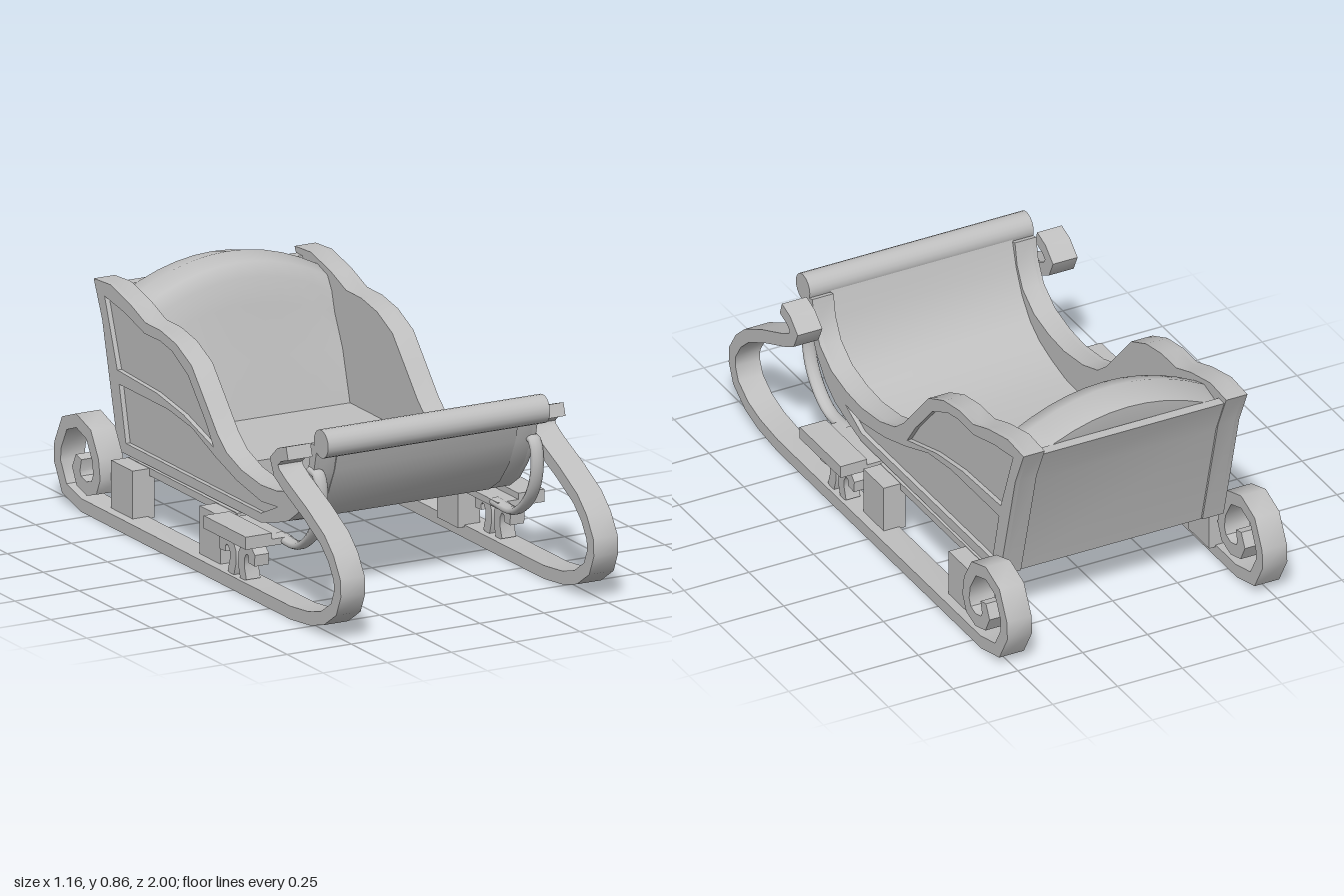
import * as THREE from 'three';
import { toCreasedNormals } from 'three/addons/utils/BufferGeometryUtils.js';

const V = (p) => new THREE.Vector2(p[0], p[1]);

// Extrude a (z, y) outline across x from x0 to x1
function slab(points, x0, x1, holes = []) {
  const shape = new THREE.Shape(points.map(V));
  holes.forEach((h) => shape.holes.push(new THREE.Path(h.map(V))));
  const geo = new THREE.ExtrudeGeometry(shape, { depth: x1 - x0, bevelEnabled: false });
  geo.rotateY(-Math.PI / 2).translate(x1, 0, 0);
  return toCreasedNormals(geo, 0.75);
}

// Outline of a strip of even thickness following a (z, y) path
function band(path, thickness) {
  const p = path.map(V), left = [], right = [];
  p.forEach((c, i) => {
    const a = c.clone().sub(p[Math.max(i - 1, 0)]).normalize();
    const b = p[Math.min(i + 1, p.length - 1)].clone().sub(c).normalize();
    const t = a.clone().add(b).normalize();
    const ref = i === 0 ? b : a;
    const m = thickness / 2 / Math.max(0.6, t.dot(ref));
    left.push([c.x - t.y * m, c.y + t.x * m]);
    right.unshift([c.x + t.y * m, c.y - t.x * m]);
  });
  return left.concat(right);
}

export function createModel() {
  const root = new THREE.Group();
  root.name = 'sleigh';
  const grey = new THREE.MeshStandardMaterial({ color: 0xbfbfbf });
  grey.name = 'plain grey';
  const add = (name, geo) => {
    const mesh = new THREE.Mesh(geo, grey);
    mesh.name = name;
    root.add(mesh);
    return mesh;
  };
  const box = (name, x0, x1, y0, y1, z0, z1) =>
    add(name, new THREE.BoxGeometry(x1 - x0, y1 - y0, z1 - z0)
      .translate((x0 + x1) / 2, (y0 + y1) / 2, (z0 + z1) / 2));

  // Runner with a hooked front and a spiral tail
  const runner = [
    [0.625, 0.583], [0.57, 0.565], [0.533, 0.533], [0.55, 0.497], [0.61, 0.465], [0.75, 0.405],
    [0.87, 0.343], [0.93, 0.29], [0.972, 0.225], [0.975, 0.175], [0.948, 0.115], [0.87, 0.064],
    [0.78, 0.039], [0.65, 0.025], [0.3, 0.024], [-0.81, 0.024], [-0.925, 0.053], [-0.975, 0.14],
    [-0.972, 0.195], [-0.925, 0.285], [-0.843, 0.315], [-0.757, 0.288], [-0.71, 0.21],
    [-0.7, 0.15], [-0.72, 0.108], [-0.77, 0.092], [-0.825, 0.107], [-0.845, 0.145],
    [-0.833, 0.168], [-0.812, 0.163],
  ];

  // Side board outline and its two recessed fields
  const board = [
    [0.64, 0.59], [0.6, 0.6], [0.585, 0.52], [0.545, 0.445], [0.464, 0.39], [0.357, 0.365],
    [0.25, 0.358], [0.115, 0.375], [0.01, 0.41], [-0.055, 0.46], [-0.137, 0.55], [-0.233, 0.654],
    [-0.34, 0.702], [-0.45, 0.722], [-0.555, 0.722], [-0.66, 0.76], [-0.8, 0.793], [-0.914, 0.785],
    [-0.855, 0.655], [-0.743, 0.22], [0.25, 0.225], [0.35, 0.25], [0.44, 0.28], [0.507, 0.325],
    [0.57, 0.4], [0.615, 0.49],
  ];
  const upperField = [
    [-0.08, 0.405], [-0.137, 0.483], [-0.26, 0.615], [-0.37, 0.67], [-0.45, 0.684], [-0.56, 0.682],
    [-0.7, 0.72], [-0.838, 0.742], [-0.75, 0.503], [-0.475, 0.493], [-0.29, 0.465],
  ];
  const lowerField = [
    [0.365, 0.31], [0.25, 0.3], [0.08, 0.33], [-0.07, 0.375], [-0.23, 0.434], [-0.395, 0.456],
    [-0.737, 0.456], [-0.69, 0.258], [0.25, 0.258],
  ];

  // Brace curving from the front of the board down to the step
  const brace = new THREE.CatmullRomCurve3([
    [0.585, 0.5], [0.632, 0.49], [0.65, 0.42], [0.63, 0.33], [0.57, 0.25], [0.49, 0.205], [0.36, 0.205],
  ].map(([z, y]) => new THREE.Vector3(0, y, z)));

  // Half of the scroll pair under the step; d mirrors it in z
  const scroll = (d) => [
    [0.045, 0.045], [0.03, 0.09], [0.03, 0.13], [0.05, 0.162], [0.08, 0.165], [0.102, 0.145], [0.1, 0.115],
  ].map(([z, y]) => [0.25 + d * z, y]);

  for (const s of [-1, 1]) {
    const side = s > 0 ? 'left' : 'right';
    const span = (a, b) => (s > 0 ? [a, b] : [-b, -a]);
    add(side + 'Runner', slab(band(runner, 0.047), ...span(0.445, 0.54)));
    add(side + 'SideBoard', slab(board, ...span(0.35, 0.415)));
    add(side + 'SideFrame', slab(board, ...span(0.415, 0.432), [upperField, lowerField]));

    const tube = new THREE.TubeGeometry(brace, 24, 0.015, 10).scale(1.7, 1, 1);
    add(side + 'Brace', tube).position.x = s * 0.42;

    box(side + 'FrontPost', ...span(0.42, 0.505), 0.04, 0.217, -0.047, 0.098);
    box(side + 'RearPost', ...span(0.42, 0.505), 0.04, 0.217, -0.662, -0.513);
    box(side + 'Step', ...span(0.48, 0.582), 0.192, 0.237, 0.118, 0.412);
    box(side + 'StepBracket', ...span(0.4, 0.49), 0.192, 0.215, 0.118, 0.412);
    for (const d of [-1, 1]) {
      add(side + 'StepScroll', slab(band(scroll(d), 0.042), ...span(0.47, 0.525)));
    }
  }

  // Curved dash running down into the floor
  const floor = [
    [0.635, 0.6], [0.605, 0.5], [0.562, 0.41], [0.5, 0.335], [0.43, 0.29], [0.34, 0.26],
    [0.24, 0.238], [0.1, 0.233], [-0.735, 0.233],
  ];
  add('dashAndFloor', slab(band(floor, 0.03), -0.352, 0.352));
  box('underFrame', -0.44, 0.44, 0.192, 0.219, -0.66, 0.1);

  // Round rail across the front
  add('frontRail', new THREE.CylinderGeometry(0.05, 0.05, 0.864, 20)
    .rotateZ(Math.PI / 2).translate(0, 0.613, 0.668));

  // Bench and back panel
  box('seat', -0.352, 0.352, 0.235, 0.33, -0.7, -0.085);
  add('backPanel', slab([
    [-0.69, 0.22], [-0.735, 0.22], [-0.84, 0.63], [-0.9, 0.765], [-0.86, 0.765], [-0.8, 0.63],
  ], -0.352, 0.352));

  // Padded backrest: cross-sections along x with an arched top
  const pad = [
    [-0.52, 0.3, 0], [-0.58, 0.52, 0.1], [-0.635, 0.7, 0.8], [-0.655, 0.79, 1], [-0.685, 0.838, 1],
    [-0.755, 0.86, 1], [-0.862, 0.832, 1], [-0.855, 0.76, 0.6], [-0.72, 0.3, 0],
  ];
  const pos = [], index = [], n = pad.length, cols = 10;
  for (let i = 0; i <= cols; i++) {
    const t = (i / cols) * 2 - 1;
    for (const [z, y, k] of pad) pos.push(t * 0.352, y - k * 0.097 * t * t, z);
  }
  for (let i = 0; i < cols; i++) {
    for (let j = 0; j < n; j++) {
      const a = i * n + j, b = i * n + ((j + 1) % n), c = a + n, d = b + n;
      index.push(a, c, b, b, c, d);
    }
  }
  for (let j = 1; j < n - 1; j++) {
    index.push(0, j, j + 1, cols * n, cols * n + j + 1, cols * n + j);
  }
  const padGeo = new THREE.BufferGeometry();
  padGeo.setAttribute('position', new THREE.Float32BufferAttribute(pos, 3));
  padGeo.setIndex(index);
  add('backrest', toCreasedNormals(padGeo, 0.9));

  return root;
}
